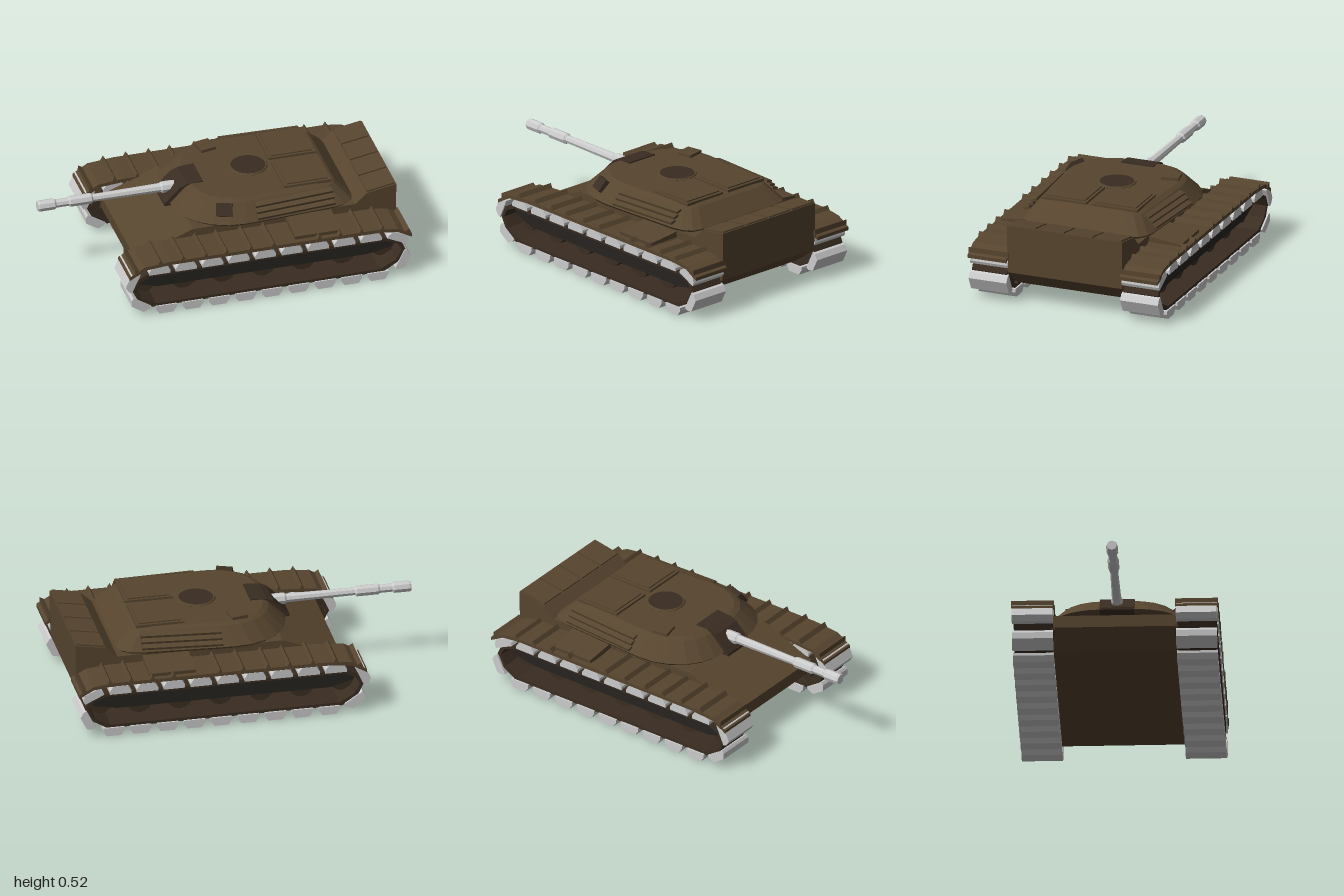
import * as THREE from 'three';

const paint = (color) => new THREE.MeshStandardMaterial({ color, flatShading: true, side: THREE.DoubleSide });

export function createModel() {
  const root = new THREE.Group();
  const brown = paint(0x57452f), darkBrown = paint(0x3a2d22), black = paint(0x26231f), grey = paint(0xcccccc);

  const add = (name, geo, mat, parent = root, pos = [0, 0, 0], rot = [0, 0, 0]) => {
    const m = new THREE.Mesh(geo, mat);
    m.name = name;
    m.position.set(...pos);
    m.rotation.set(...rot);
    parent.add(m);
    return m;
  };
  const box = (x, y, z) => new THREE.BoxGeometry(x, y, z);
  const vec = (pts) => pts.map((p) => new THREE.Vector2(...p));
  // side profile (x, y) swept between two z values
  const sweep = (pts, z0, z1, hole) => {
    const s = new THREE.Shape(vec(pts));
    if (hole) s.holes.push(new THREE.Path(vec(hole)));
    return new THREE.ExtrudeGeometry(s, { depth: z1 - z0, bevelEnabled: false }).translate(0, 0, z0);
  };
  // stacked rings of [x, y, z] joined by walls and closed at both ends
  const loft = (rings) => {
    const n = rings[0].length, idx = [], pos = rings.flat(2);
    for (let r = 0; r < rings.length - 1; r++)
      for (let i = 0; i < n; i++) {
        const a = r * n + i, b = r * n + (i + 1) % n;
        idx.push(a, b, b + n, a, b + n, a + n);
      }
    const last = (rings.length - 1) * n;
    for (let i = 1; i < n - 1; i++) idx.push(0, i + 1, i, last, last + i, last + i + 1);
    const g = new THREE.BufferGeometry();
    g.setAttribute('position', new THREE.Float32BufferAttribute(pos, 3));
    g.setIndex(idx);
    const flat = g.toNonIndexed();
    flat.computeVertexNormals();
    return flat;
  };

  // hull with sloped nose and raised engine deck
  add('hull', sweep([[-0.42, 0.075], [0.8, 0.075], [0.95, 0.185], [0.955, 0.46], [0.785, 0.43],
    [0.72, 0.37], [-0.21, 0.37], [-0.54, 0.24], [-0.54, 0.17]], -0.342, 0.342), brown);
  for (let i = 0; i < 4; i++)
    add('engineCover', box(0.16, 0.014, 0.158), brown, root, [0.868, 0.447, (i - 1.5) * 0.17], [0, 0, 0.175]);

  // running gear, built on +z and repeated on -z
  const path = [[-0.5, 0.045], [0.82, 0.045], [0.91, 0.1], [0.945, 0.17], [0.92, 0.225], [0.85, 0.258],
    [-0.53, 0.258], [-0.595, 0.225], [-0.62, 0.17], [-0.585, 0.1]];
  const inner = path.map(([x, y]) => [0.163 + (x - 0.163) * 0.972, 0.152 + (y - 0.152) * 0.82]);
  const loop = new THREE.CurvePath();
  vec(path).forEach((p, i, a) => loop.add(new THREE.LineCurve(p, a[0] && vec(path)[(i + 1) % a.length])));
  const padGeo = sweep([[-0.04, -0.045], [0.04, -0.045], [0.06, -0.015], [0.06, 0.004], [-0.06, 0.004], [-0.06, -0.015]], 0.338, 0.563);
  const fenderTop = [[-0.635, 0.26], [-0.55, 0.312], [-0.4, 0.325], [0.8, 0.325], [0.9, 0.312], [0.98, 0.268]];
  const fenderLow = fenderTop.map(([x, y]) => [x, y - 0.02]).reverse();
  const ribGeo = new THREE.CylinderGeometry(0.027, 0.027, 0.235, 3).rotateX(-Math.PI / 2);
  const ribs = [[-0.59, 0.283], [-0.46, 0.318], [-0.33, 0.322], [-0.2, 0.322], [-0.08, 0.322], [0.06, 0.322], [0.19, 0.322],
    [0.45, 0.322], [0.57, 0.322], [0.69, 0.322], [0.81, 0.318], [0.95, 0.282]];

  for (const side of [1, -1]) {
    const g = new THREE.Group();
    g.name = side > 0 ? 'leftSideZTrack' : 'rightSideZTrack';
    root.add(g);
    // sweeps span positive z, so shift the whole set across for the far side
    g.position.z = side > 0 ? 0 : -0.902;
    add('trackBand', sweep(path, 0.348, 0.555, inner), darkBrown, g);
    const pads = 22;
    for (let i = 0; i < pads; i++) {
      const u = (i + 0.5) / pads, p = loop.getPointAt(u), t = loop.getTangentAt(u);
      add('trackPad', padGeo, grey, g, [p.x, p.y, 0], [0, 0, Math.atan2(t.y, t.x)]);
    }
    add('fender', sweep([...fenderTop, ...fenderLow], 0.336, 0.566), brown, g);
    for (const [x, y] of ribs) add('fenderRib', ribGeo, brown, g, [x, y, 0.451], [0, 0, x < -0.5 ? 0.5 : x > 0.9 ? -0.5 : 0]);

    // parts with an inner and an outer face are placed by signed z
    add('sidePlate', sweep([[-0.6, 0.2], [-0.57, 0.16], [-0.45, 0.125], [0.75, 0.125], [0.88, 0.15], [0.915, 0.2],
      [0.87, 0.25], [-0.55, 0.25]], -0.015, 0.015), black, root, [0, 0, side * 0.465]);
    for (let i = 0; i < 7; i++) {
      const end = i === 0 || i === 6;
      const x = -0.52 + i * 0.2275, wheel = new THREE.CylinderGeometry(0.072, 0.072, 0.1, 14).rotateX(Math.PI / 2);
      add('roadWheel', wheel, darkBrown, root, [x, end ? 0.155 : 0.142, side * 0.4]);
      add('wheelHub', new THREE.CylinderGeometry(0.025, 0.03, 0.14, 8).rotateX(Math.PI / 2), darkBrown, root, [x, end ? 0.155 : 0.142, side * 0.4]);
    }
    add('fenderBox', box(0.26, 0.03, 0.19), brown, root, [0.45, 0.34, side * 0.44], [side * 0.11, 0, 0]);
  }

  // turret shell
  const half = [[-0.27, 0.09], [-0.262, 0.17], [-0.235, 0.25], [-0.185, 0.32], [-0.11, 0.375], [-0.02, 0.41], [0.07, 0.418],
    [0.18, 0.413], [0.59, 0.385], [0.655, 0.37], [0.7, 0.335], [0.715, 0.28]];
  const outline = [...half, ...half.map(([x, z]) => [x, -z]).reverse()];
  const ring = (y, kx, kz) => outline.map(([x, z]) => [0.225 + (x - 0.225) * kx, y, z * kz]);
  const turret = new THREE.Group();
  turret.name = 'turret';
  root.add(turret);
  add('turretShell', loft([ring(0.388, 0.97, 0.97), ring(0.402, 1, 1), ring(0.492, 0.82, 0.81), ring(0.506, 0.76, 0.74)]), brown, turret);
  add('turretRing', new THREE.CylinderGeometry(0.18, 0.18, 0.05, 24), darkBrown, turret, [0.3, 0.378, 0]);
  add('roundHatch', new THREE.CylinderGeometry(0.095, 0.1, 0.012, 20), darkBrown, turret, [0.205, 0.508, 0]);
  add('hatchRim', new THREE.TorusGeometry(0.1, 0.008, 6, 24).rotateX(Math.PI / 2), brown, turret, [0.205, 0.507, 0]);
  for (const s of [1, -1]) {
    add('roofHatchBase', box(0.27, 0.016, 0.265), brown, turret, [0.465, 0.51, s * 0.152]);
    add('roofHatch', box(0.235, 0.016, 0.235), brown, turret, [0.465, 0.517, s * 0.152]);
    // three stacked rails on each flank
    for (let i = 0; i < 3; i++)
      add('sideRail', box(0.45, 0.014, 0.035), brown, turret,
        [0.365, 0.428 + i * 0.026, s * (0.392 - i * 0.022)], [s * 0.3, s * 0.06, 0]);
  }
  add('roofSight', box(0.09, 0.035, 0.1), brown, turret, [0.03, 0.505, -0.25], [0, 0.2, 0]);
  add('flankBox', box(0.09, 0.075, 0.04), darkBrown, turret, [-0.03, 0.463, 0.345], [-0.65, -0.35, 0, 'YXZ']);

  // gun shield and barrel
  add('mantlet', sweep([[-0.3, 0.386], [-0.08, 0.386], [-0.08, 0.513], [-0.17, 0.506], [-0.21, 0.49], [-0.3, 0.4]], -0.095, 0.095), darkBrown, turret);
  const barrel = [[0, -1], [0.028, -1], [0.032, -0.99], [0.032, -0.905], [0.024, -0.895], [0.024, -0.825], [0.031, -0.815],
    [0.031, -0.695], [0.022, -0.685], [0.026, -0.3], [0.033, -0.29], [0.033, -0.21], [0, -0.2]];
  add('gunBarrel', new THREE.LatheGeometry(vec(barrel), 8).rotateZ(-Math.PI / 2), grey, turret, [0, 0.45, 0]);
  return root;
}
